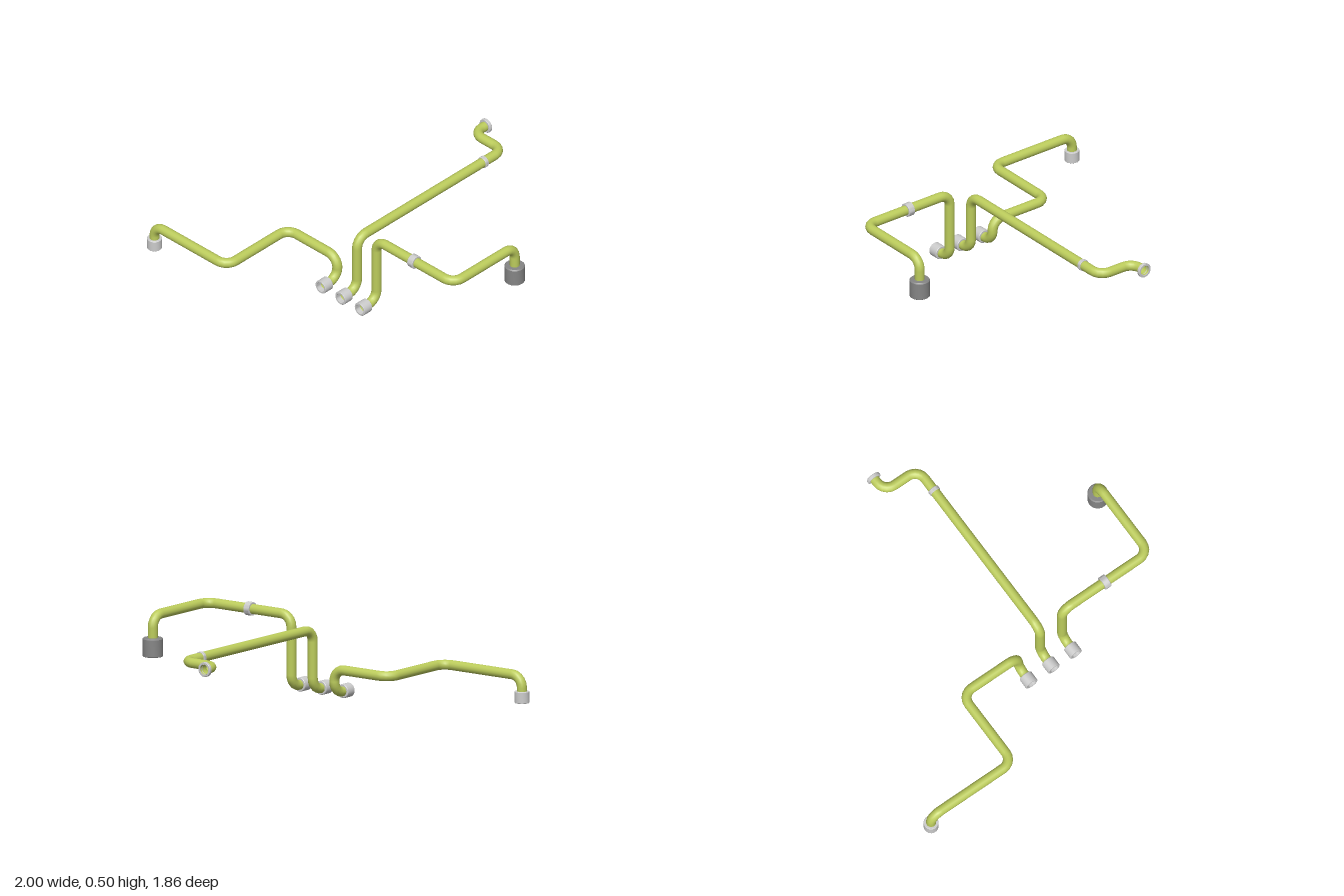
import * as THREE from 'three';
import { toCreasedNormals } from 'three/addons/utils/BufferGeometryUtils.js';

const PIPE_R = 0.029;
const BEND_R = 0.07;
const BEND_STEPS = 5;

const pipeMat = new THREE.MeshStandardMaterial({ color: 0xbccc5c, side: THREE.DoubleSide });
const metalMat = new THREE.MeshStandardMaterial({ color: 0xcccccc });
const darkMat = new THREE.MeshStandardMaterial({ color: 0x858585 });

// Path of straight runs joined by quarter-circle bends
class PipePath extends THREE.Curve {
  constructor(corners) {
    super();
    const c = corners.map((p) => new THREE.Vector3(...p));
    const dir = (i) => c[i + 1].clone().sub(c[i]).normalize();
    this.samples = [{ p: c[0], t: dir(0) }];
    for (let i = 1; i < c.length - 1; i++) {
      const a = dir(i - 1), b = dir(i);
      const centre = c[i].clone().addScaledVector(a, -BEND_R).addScaledVector(b, BEND_R);
      for (let k = 0; k <= BEND_STEPS; k++) {
        const s = Math.sin((k / BEND_STEPS) * Math.PI / 2);
        const o = Math.cos((k / BEND_STEPS) * Math.PI / 2);
        this.samples.push({
          p: centre.clone().addScaledVector(b, -BEND_R * o).addScaledVector(a, BEND_R * s),
          t: a.clone().multiplyScalar(o).addScaledVector(b, s),
        });
      }
    }
    this.samples.push({ p: c[c.length - 1], t: dir(c.length - 2) });
  }
  at(u) { return this.samples[Math.round(u * (this.samples.length - 1))]; }
  getPoint(u, target = new THREE.Vector3()) { return target.copy(this.at(u).p); }
  getPointAt(u, target) { return this.getPoint(u, target); }
  getTangent(u, target = new THREE.Vector3()) { return target.copy(this.at(u).t); }
  getTangentAt(u, target) { return this.getTangent(u, target); }
}

function pipe(name, corners) {
  const path = new PipePath(corners);
  const geo = new THREE.TubeGeometry(path, path.samples.length - 1, PIPE_R, 16, false);
  const mesh = new THREE.Mesh(geo, pipeMat);
  mesh.name = name;
  return mesh;
}

// Ring turned around an axis; the open mouth (bore) faces away from dir
function fitting(name, pos, dir, length, radius, { bore = 0.03, chamfer = 0.003, mat = metalMat } = {}) {
  const h = length / 2;
  const profile = [
    [bore, -h], [radius - 0.002, -h], [radius, -h + 0.002], [radius, h - chamfer],
    [radius - chamfer, h], [PIPE_R - 0.001, h], [PIPE_R - 0.001, h * 0.4], [bore, h * 0.4], [bore, -h],
  ].map(([x, y]) => new THREE.Vector2(x, y));
  const geo = toCreasedNormals(new THREE.LatheGeometry(profile, 24), 0.6);
  const mesh = new THREE.Mesh(geo, mat);
  mesh.name = name;
  mesh.position.set(...pos);
  mesh.quaternion.setFromUnitVectors(new THREE.Vector3(0, 1, 0), new THREE.Vector3(...dir));
  return mesh;
}

export function createModel() {
  const model = new THREE.Group();
  model.name = 'pipeRuns';
  const inletY = 0.044, frontZ = 0.385, inletZ = 0.492;

  // Low run, stepping forward to the right side
  const low = new THREE.Group();
  low.name = 'lowRun';
  low.add(
    pipe('lowPipe', [
      [0.014, inletY, inletZ], [0.014, inletY, frontZ], [0.014, 0.186, frontZ], [-0.381, 0.186, frontZ],
      [-0.381, 0.186, 0.888], [-0.957, 0.186, 0.888], [-0.957, 0.07, 0.888],
    ]),
    fitting('lowOutletSocket', [-0.957, 0.063, 0.888], [0, 1, 0], 0.068, 0.043),
  );

  // Middle run, reaching to the back
  const middle = new THREE.Group();
  middle.name = 'middleRun';
  middle.add(
    pipe('middlePipe', [
      [0.171, inletY, inletZ], [0.171, inletY, frontZ], [0.171, 0.398, frontZ],
      [0.171, 0.398, -0.817], [-0.066, 0.398, -0.817], [-0.066, 0.398, -0.928],
    ]),
    fitting('middleCollar', [0.171, 0.398, -0.656], [0, 0, 1], 0.024, 0.034, { bore: 0.028 }),
    fitting('backFlange', [-0.066, 0.398, -0.921], [0, 0, 1], 0.02, 0.043),
  );

  // High run, turning back at the left side
  const high = new THREE.Group();
  high.name = 'highRun';
  high.add(
    pipe('highPipe', [
      [0.326, inletY, inletZ], [0.326, inletY, frontZ], [0.326, 0.464, frontZ],
      [0.939, 0.464, frontZ], [0.939, 0.464, -0.12], [0.939, 0.3, -0.12],
    ]),
    fitting('highCollar', [0.627, 0.464, frontZ], [1, 0, 0], 0.04, 0.04, { bore: 0.028 }),
    fitting('highOutletSocket', [0.939, 0.281, -0.12], [0, 1, 0], 0.108, 0.059,
      { bore: 0.036, chamfer: 0.006, mat: darkMat }),
  );

  // Matching inlet sockets at the front
  [[low, 0.014], [middle, 0.171], [high, 0.326]].forEach(([run, x]) => {
    run.add(fitting('inletSocket', [x, inletY, 0.492], [0, 0, -1], 0.064, 0.041));
  });

  model.add(low, middle, high);
  return model;
}
